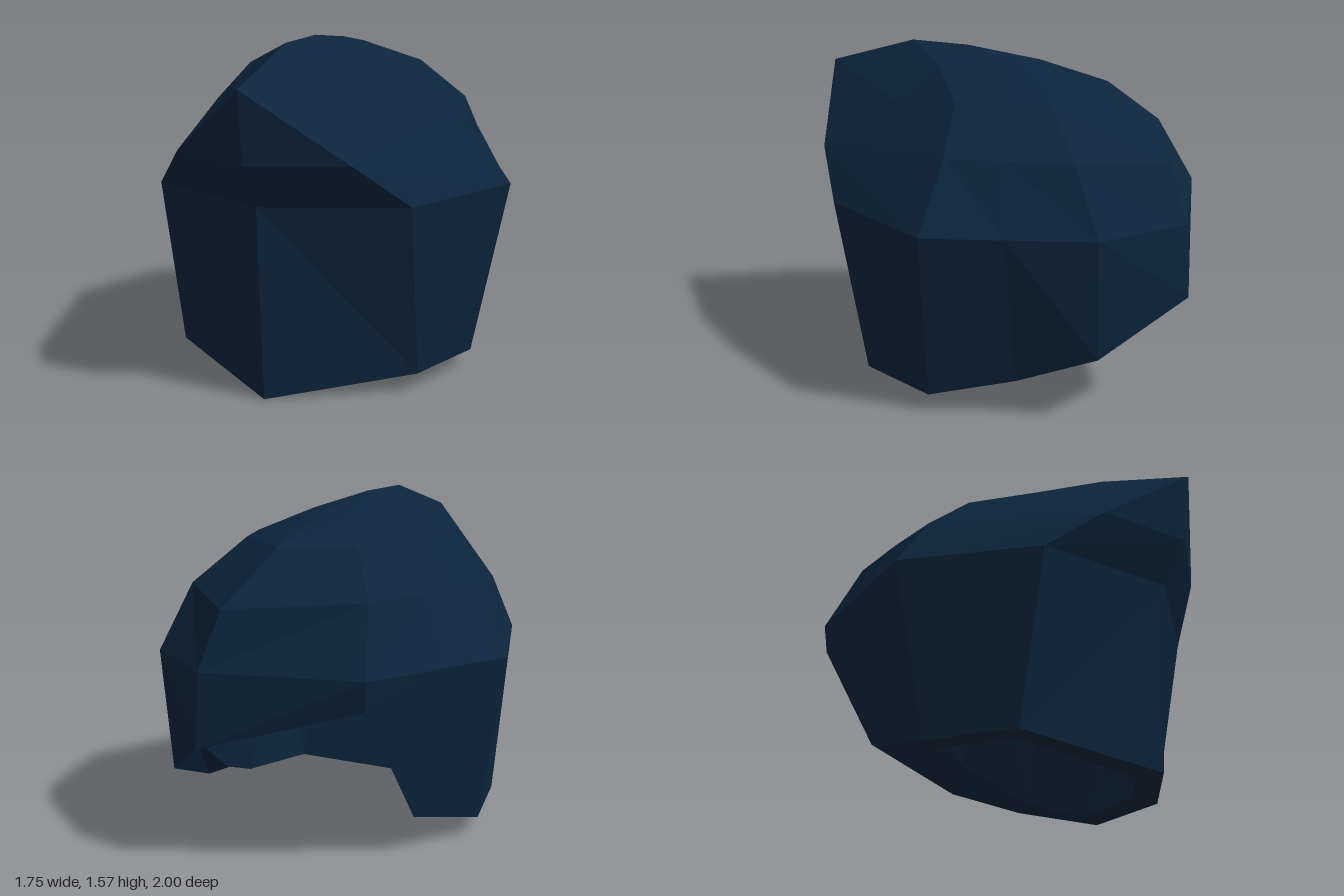
import * as THREE from 'three';

const navy = new THREE.MeshStandardMaterial({ color: 0x0c243b });
navy.name = 'darkNavy';

// Ring from a half section (front, frontCorner, side, rearSide, rearCorner, tail);
// the +x half is mirrored, the tail is off centre and stays single.
function ring(half, otherRearCorner) {
  const mirror = half.slice(1, 5).reverse().map(([x, y, z]) => [-x, y, z]);
  if (otherRearCorner) mirror[0] = otherRearCorner;
  return [...half, ...mirror];
}

// Rings in order: inside of the hollow, down to the rim, then up over the outside
const rings = [
  // inner wall top
  ring([[0, 0.65, 0.56], [0.43, 0.65, 0.43], [0.55, 0.85, 0.27], [0.46, 1.1, -0.05], [0.36, 1.02, -0.4], [0.1, 0.88, -0.76]]),
  // inner rim
  ring([[0, 0, 0.66], [0.48, 0.1, 0.36], [0.6, 0.09, 0.03], [0.53, 0.2, -0.26], [0.44, 0.45, -0.62], [0.13, 0.65, -0.9]],
    [-0.43, 0.86, -0.52]),
  // outer rim, cut higher at one rear corner
  ring([[0, 0, 0.79], [0.6, 0.09, 0.44], [0.72, 0.085, 0.03], [0.58, 0.18, -0.35], [0.5, 0.33, -0.72], [0.15, 0.56, -1]],
    [-0.54, 0.76, -0.72]),
  // widest line
  ring([[0, 0.9, 0.845], [0.62, 0.9, 0.59], [0.875, 0.9, -0.03], [0.72, 0.9, -0.37], [0.55, 0.9, -0.735], [0.15, 0.9, -0.975]]),
  // brow overhang and lower dome
  ring([[0, 1.1, 0.96], [0.42, 1.1, 0.78], [0.65, 1.2, -0.03], [0.57, 1.2, -0.3], [0.47, 1.2, -0.58], [0.1, 1.16, -0.865]]),
  // front peak and upper dome
  ring([[0, 1.43, 1], [0.35, 1.34, 0.4], [0.43, 1.4, 0.04], [0.38, 1.4, -0.17], [0.3, 1.4, -0.38], [0, 1.4, -0.57]]),
  // crown
  ring([[0, 1.57, 0.53], [0.18, 1.505, 0.28], [0.17, 1.505, 0.05], [0.14, 1.51, -0.05], [0.1, 1.515, -0.12], [0, 1.53, -0.11]]),
];
const ceiling = [0, 1.15, -0.1];
const crownTop = [0, 1.572, 0.22];

function shellGeometry() {
  const pos = [];
  const tri = (...corners) => corners.forEach((p) => pos.push(...p));
  const n = rings[0].length;
  const last = rings[rings.length - 1];
  for (let i = 0; i < n; i++) {
    const k = (i + 1) % n;
    for (let j = 0; j < rings.length - 1; j++) {
      const a = rings[j][i], b = rings[j][k], c = rings[j + 1][k], d = rings[j + 1][i];
      // mirrored diagonals on the two halves
      if (i < n / 2) { tri(a, b, d); tri(b, c, d); }
      else { tri(a, b, c); tri(a, c, d); }
    }
    tri(ceiling, rings[0][k], rings[0][i]);
    tri(crownTop, last[i], last[k]);
  }
  const g = new THREE.BufferGeometry();
  g.setAttribute('position', new THREE.Float32BufferAttribute(pos, 3));
  g.computeVertexNormals(); // unshared corners keep every facet flat
  return g;
}

export function createModel() {
  const model = new THREE.Group();
  model.name = 'facetedHood';
  const shell = new THREE.Mesh(shellGeometry(), navy);
  shell.name = 'hoodShell';
  model.add(shell);
  return model;
}
